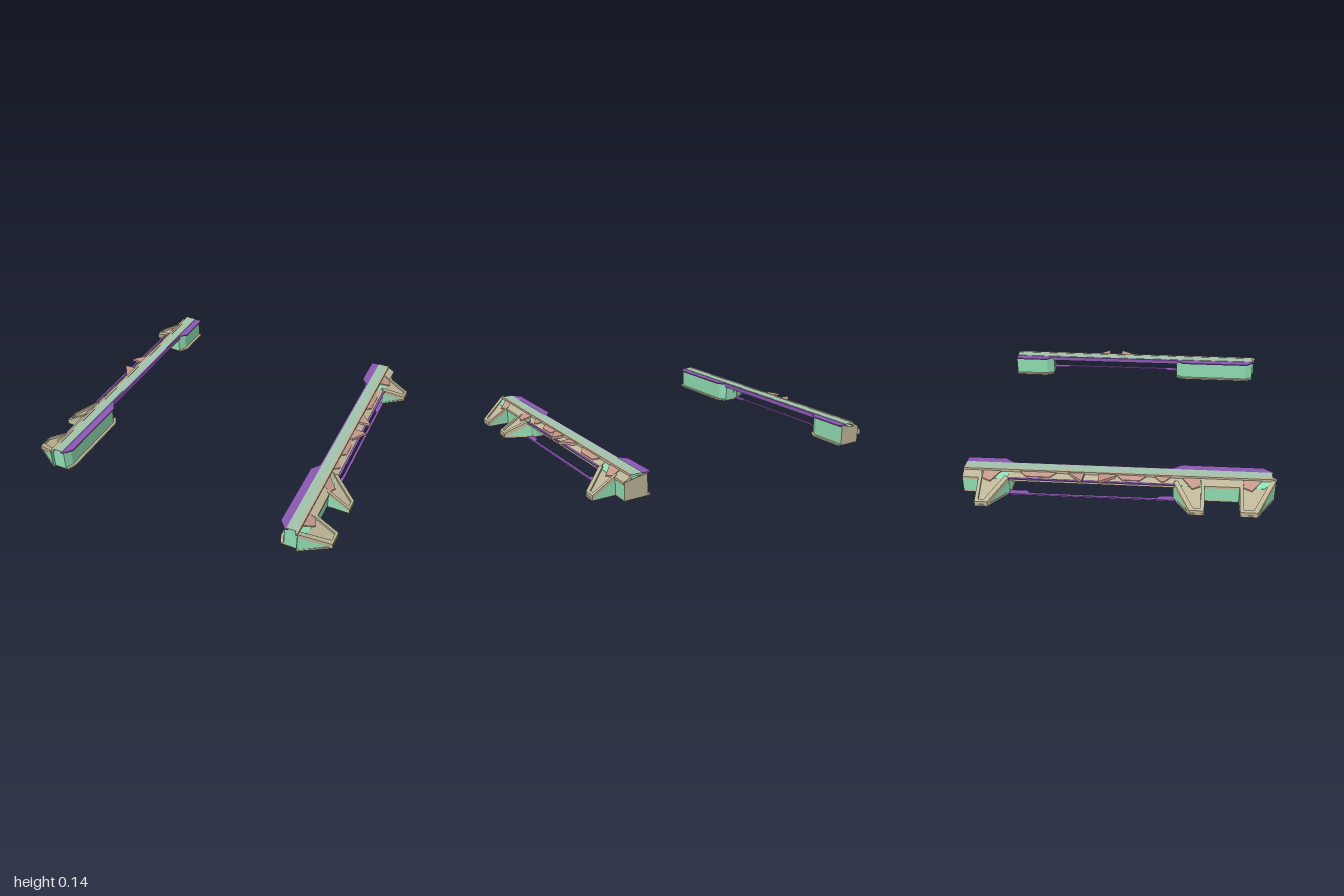
import * as THREE from 'three';

const MINT = 0x8fdcb2, PALE = 0xa3c4ae, KHAKI = 0xbdb597, PINK = 0xc4988a, PURPLE = 0x8a58b4;
const materials = {};
const material = (color) => materials[color] ??=
  new THREE.MeshStandardMaterial({ color, flatShading: true, side: THREE.DoubleSide });

// Outer slope shared by fins, ribs and shoulder panels: flat, then falling outward
const slope = (x) => (x <= 0.82 ? 0.13 : 0.13 - (x - 0.82) * 0.6);
const raised = (d) => (x) => slope(x) + d;

// Solid on an [x, z] outline; bottom and top heights may depend on x
function slab(group, name, color, outline, lo, hi) {
  const at = (f, x) => (typeof f === 'function' ? f(x) : f);
  const shape = new THREE.Shape(outline.map(([x, z]) => new THREE.Vector2(x, -z)));
  const geo = new THREE.ExtrudeGeometry(shape, { depth: 1, bevelEnabled: false });
  geo.rotateX(-Math.PI / 2);
  const p = geo.attributes.position;
  for (let i = 0; i < p.count; i++) {
    const x = p.getX(i);
    p.setY(i, p.getY(i) > 0.5 ? at(hi, x) : at(lo, x));
  }
  geo.computeVertexNormals();
  const mesh = new THREE.Mesh(geo, material(color));
  mesh.name = name;
  group.add(mesh);
}

const rect = (x0, x1, z0, z1) => [[x0, z0], [x1, z0], [x1, z1], [x0, z1]];

// Raised edge strip between two [x, z] points
function rib(group, name, [x0, z0], [x1, z1], w) {
  const l = Math.hypot(x1 - x0, z1 - z0), nx = -(z1 - z0) / l * w, nz = (x1 - x0) / l * w;
  slab(group, name, KHAKI,
    [[x0, z0], [x1, z1], [x1 + nx, z1 + nz], [x0 + nx, z0 + nz]], raised(-0.02), raised(0.007));
}

// Outrigger fin: straight side at zs, tip corner at zc, diagonal running back to [xd, zd]
function fin(group, zs, zc, xd, zd) {
  const g = new THREE.Group();
  g.name = 'outriggerFin';
  group.add(g);
  const d = Math.sign(zc - zs);
  const outline = [[0.82, zs], [0.99, zs], [0.99, zc], [xd, zd], [0.82, zd]];
  slab(g, 'finBody', MINT, outline, 0.008, raised(-0.014));
  slab(g, 'finSkin', KHAKI, outline, raised(-0.0145), raised(-0.006));
  slab(g, 'finSole', KHAKI, [[0.82, zs], [1, zs], [1, zc], [xd, zd], [0.82, zd]], 0, 0.012);
  rib(g, 'finStraightRib', [0.85, zs], [0.998, zs], 0.02 * d);
  rib(g, 'finTipRib', [0.998, zs], [0.998, zc], 0.014 * d);
  rib(g, 'finDiagonalRib', [0.998, zc], [xd, zd], 0.026 * d);
  slab(g, 'finGusset', PINK,
    [[0.82, zs + 0.02 * d], [0.865, zs + 0.025 * d], [0.88, zs + 0.07 * d], [0.82, zs + 0.13 * d]],
    raised(-0.02), raised(0.002));
}

function buildRail() {
  const rail = new THREE.Group();

  // End pods: walls, sole plate, inner top flange
  const front = (o) => [[0.72 - o, 0.36], [0.75 - o, 0.31], [0.82, 0.31], [0.862, 0.34],
    [0.862, 0.83], [0.82, 0.88], [0.74 - o, 0.88], [0.72 - o, 0.83]];
  const back = (o) => [[0.72 - o, -0.91], [0.862, -0.91], [0.862, -0.66], [0.82, -0.63],
    [0.75 - o, -0.63], [0.72 - o, -0.68]];
  for (const [n, f] of [['front', front], ['back', back]]) {
    slab(rail, n + 'PodWalls', MINT, f(0), 0.01, raised(-0.004));
    slab(rail, n + 'PodSole', KHAKI, f(0.018), 0, 0.01);
  }
  slab(rail, 'frontTopFlange', PURPLE, [[0.70, 0.36], [0.742, 0.3], [0.76, 0.3], [0.76, 0.885],
    [0.74, 0.885], [0.70, 0.835]], 0.128, 0.136);
  slab(rail, 'backTopFlange', PURPLE, [[0.70, -0.91], [0.76, -0.91], [0.76, -0.63],
    [0.742, -0.63], [0.70, -0.68]], 0.128, 0.136);
  slab(rail, 'backEndPanel', KHAKI, rect(0.72, 0.862, -0.912, -0.905), 0.005, raised(0));

  // Full length top strip with a raised outer seam
  slab(rail, 'topStrip', PALE, rect(0.75, 0.815, -0.91, 0.88), 0.126, 0.139);
  slab(rail, 'topSeam', KHAKI, [[0.808, -0.91], [0.824, -0.91], [0.824, 0.89], [0.816, 0.905],
    [0.808, 0.89]], 0.124, 0.141);
  slab(rail, 'innerLip', PURPLE, rect(0.74, 0.752, -0.64, 0.32), 0.108, 0.137);

  // Sloped shoulder: panel, edge trim and inserts
  slab(rail, 'shoulderPanel', KHAKI, rect(0.815, 0.868, -0.64, 0.32), raised(-0.012), raised(0));
  slab(rail, 'shoulderTrim', PURPLE, rect(0.862, 0.876, -0.64, 0.32), 0.105, 0.113);
  for (const [z0, z1] of [[-0.58, -0.36], [-0.02, 0.16], [0.2, 0.3]])
    slab(rail, 'shoulderInsert', PINK,
      [[0.822, z0], [0.85, z0 + 0.04], [0.85, z1 - 0.04], [0.822, z1]], raised(-0.01), raised(0.004));
  slab(rail, 'podShoulderFront', KHAKI, rect(0.815, 0.866, 0.47, 0.71), raised(-0.01), raised(0.004));
  slab(rail, 'podShoulderBack', KHAKI, rect(0.815, 0.866, -0.91, -0.8), raised(-0.01), raised(0.004));

  // Small barbs pointing outward
  slab(rail, 'barb', PINK, [[0.82, -0.3], [0.902, -0.21], [0.82, -0.2]], 0.118, 0.134);
  slab(rail, 'barb', PINK, [[0.82, -0.12], [0.902, -0.115], [0.84, -0.02], [0.82, -0.02]], 0.118, 0.134);

  // Thin lower sill joining the pods, broader at both ends
  slab(rail, 'lowerSill', PURPLE, [[0.84, -0.64], [0.878, -0.64], [0.878, 0.33], [0.84, 0.33],
    [0.84, 0.24], [0.862, 0.22], [0.862, -0.52], [0.84, -0.54]], 0, 0.009);

  fin(rail, 0.69, 0.79, 0.825, 0.897);
  fin(rail, 0.49, 0.405, 0.855, 0.315);
  fin(rail, -0.815, -0.74, 0.865, -0.64);
  return rail;
}

// Mirror the geometry across x = 0 and restore the facing of every triangle
function mirrorRail(rail) {
  const copy = rail.clone(true);
  copy.traverse((m) => {
    if (!m.isMesh) return;
    m.geometry = m.geometry.clone().scale(-1, 1, 1);
    const p = m.geometry.attributes.position, a = new THREE.Vector3(), b = new THREE.Vector3();
    for (let i = 0; i < p.count; i += 3) {
      a.fromBufferAttribute(p, i + 1);
      b.fromBufferAttribute(p, i + 2);
      p.setXYZ(i + 1, b.x, b.y, b.z);
      p.setXYZ(i + 2, a.x, a.y, a.z);
    }
    m.geometry.computeVertexNormals();
  });
  return copy;
}

export function createModel() {
  const model = new THREE.Group();
  model.name = 'sideRails';
  const left = buildRail();
  left.name = 'leftRail';
  const right = mirrorRail(left);
  right.name = 'rightRail';
  model.add(left, right);
  return model;
}
